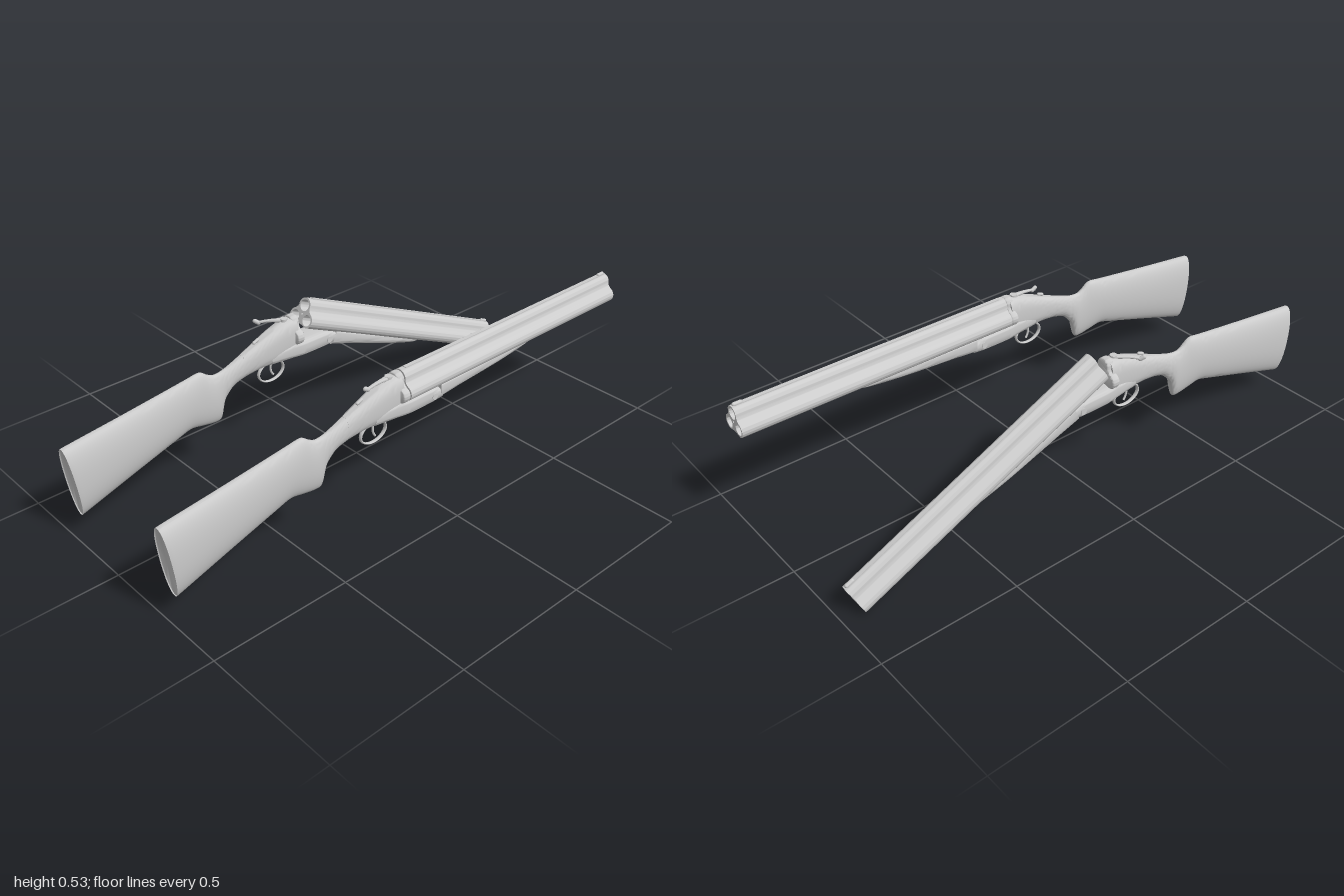
import * as THREE from 'three';
import { toCreasedNormals } from 'three/addons/utils/BufferGeometryUtils.js';

const material = new THREE.MeshStandardMaterial({ color: 0xcccccc, side: THREE.DoubleSide });
const HINGE = new THREE.Vector3(0.06, 0.385, 0);
const BREECH = -0.06;
const rad = THREE.MathUtils.degToRad;

function add(parent, name, geometry, x = 0, y = 0, z = 0) {
  const mesh = new THREE.Mesh(geometry, material);
  mesh.name = name;
  mesh.position.set(x, y, z);
  parent.add(mesh);
  return mesh;
}

// Smooth loft along x. Section: [xTop, yTop, xBottom, yBottom, halfWidth, squareness]
function loft(sections, steps = 5, sides = 36) {
  const top = new THREE.CatmullRomCurve3(sections.map(s => new THREE.Vector3(s[0], s[1], s[4])), false, 'catmullrom', 0.4);
  const bottom = new THREE.CatmullRomCurve3(sections.map(s => new THREE.Vector3(s[2], s[3], s[5])), false, 'catmullrom', 0.4);
  const rings = (sections.length - 1) * steps;
  const pos = [], idx = [];
  const power = (v, n) => Math.sign(v) * Math.abs(v) ** (2 / n);
  for (let i = 0; i <= rings; i++) {
    const t = top.getPoint(i / rings), b = bottom.getPoint(i / rings);
    for (let j = 0; j < sides; j++) {
      const a = (j / sides) * Math.PI * 2;
      const u = (power(Math.cos(a), b.z) + 1) / 2;
      pos.push(b.x + (t.x - b.x) * u, b.y + (t.y - b.y) * u, t.z * power(Math.sin(a), b.z));
    }
  }
  for (const s of [sections[0], sections.at(-1)]) pos.push((s[0] + s[2]) / 2, (s[1] + s[3]) / 2, 0);
  const c0 = (rings + 1) * sides, c1 = c0 + 1;
  for (let j = 0; j < sides; j++) {
    const k = (j + 1) % sides;
    for (let i = 0; i < rings; i++) {
      const p = i * sides, q = p + sides;
      idx.push(p + j, p + k, q + j, p + k, q + k, q + j);
    }
    idx.push(c0, k, j, c1, rings * sides + j, rings * sides + k);
  }
  const g = new THREE.BufferGeometry();
  g.setAttribute('position', new THREE.Float32BufferAttribute(pos, 3));
  g.setIndex(idx);
  return toCreasedNormals(g, 0.7);
}

// Three-lobed outline shared by the barrels and the standing breech
function clusterShape(withBores) {
  const s = new THREE.Shape();
  s.absarc(0.031, 0.425, 0.027, rad(-80), rad(60), false);
  s.quadraticCurveTo(0.031, 0.456, 0.0276, 0.467);
  s.absarc(0, 0.472, 0.028, rad(-10), rad(190), false);
  s.quadraticCurveTo(-0.031, 0.456, -0.0445, 0.448);
  s.absarc(-0.031, 0.425, 0.027, rad(120), rad(260), false);
  s.quadraticCurveTo(0, 0.41, 0.0357, 0.398);
  if (withBores) {
    for (const [x, y, r] of [[0, 0.472, 0.021], [0.031, 0.425, 0.02], [-0.031, 0.425, 0.02], [0, 0.441, 0.004]]) {
      s.holes.push(new THREE.Path().absarc(x, y, r, 0, Math.PI * 2, true));
    }
  }
  return s;
}

// Barrels, forend and sight: the part that tips on the hinge
function makeBarrels() {
  const tip = new THREE.Group();
  tip.name = 'barrelAssembly';
  const length = 1 - BREECH;
  const g = new THREE.ExtrudeGeometry(clusterShape(true), { depth: length, bevelEnabled: false, curveSegments: 20 });
  const p = g.attributes.position;
  for (let i = 0; i < p.count; i++) p.setX(i, p.getX(i) * (1 - 0.06 * p.getZ(i) / length));
  g.rotateY(Math.PI / 2).translate(BREECH, 0, 0);
  add(tip, 'barrels', toCreasedNormals(g, 0.6));
  add(tip, 'topRib', new THREE.BoxGeometry(length - 0.04, 0.006, 0.014), 0.47, 0.499);

  const bead = add(tip, 'frontSight', new THREE.CapsuleGeometry(0.007, 0.022, 6, 14), 0.978, 0.502);
  bead.rotation.z = Math.PI / 2;

  add(tip, 'forend', loft([
    [0.09, 0.415, 0.09, 0.347, 0.047, 4],
    [0.2, 0.415, 0.2, 0.357, 0.047, 3.5],
    [0.38, 0.415, 0.38, 0.367, 0.043, 3],
    [0.52, 0.415, 0.52, 0.379, 0.036, 2.6],
    [0.57, 0.413, 0.57, 0.388, 0.028, 2.3],
    [0.585, 0.41, 0.585, 0.402, 0.01, 2],
  ]));
  for (const c of tip.children) c.position.sub(HINGE);
  tip.position.copy(HINGE);
  return tip;
}

function makeGun(name, open) {
  const gun = new THREE.Group();
  gun.name = name;

  // Butt, comb, pistol grip and wrist
  add(gun, 'stock', loft([
    [-1.0, 0.352, -0.966, 0.087, 0.034, 2.2],
    [-0.99, 0.356, -0.955, 0.09, 0.037, 2.2],
    [-0.8, 0.379, -0.77, 0.149, 0.035, 2.1],
    [-0.62, 0.402, -0.6, 0.202, 0.031, 2.1],
    [-0.53, 0.414, -0.53, 0.222, 0.029, 2.1],
    [-0.475, 0.421, -0.475, 0.213, 0.027, 2.1],
    [-0.445, 0.402, -0.43, 0.206, 0.025, 2.1],
    [-0.42, 0.39, -0.402, 0.212, 0.023, 2.1],
    [-0.385, 0.392, -0.385, 0.275, 0.021, 2.1],
    [-0.345, 0.404, -0.345, 0.318, 0.021, 2.1],
    [-0.29, 0.424, -0.29, 0.337, 0.024, 2.3],
  ]));

  // Action body rising to the breech
  add(gun, 'receiver', loft([
    [-0.3, 0.421, -0.3, 0.335, 0.0235, 2.3],
    [-0.24, 0.444, -0.24, 0.344, 0.029, 2.6],
    [-0.18, 0.468, -0.18, 0.345, 0.034, 2.8],
    [-0.12, 0.487, -0.12, 0.345, 0.037, 2.8],
    [-0.075, 0.494, -0.075, 0.345, 0.04, 2.8],
  ]));
  add(gun, 'actionBar', loft([
    [-0.19, 0.4, -0.19, 0.346, 0.031, 3],
    [-0.1, 0.406, -0.1, 0.345, 0.042, 4],
    [-0.05, 0.404, -0.05, 0.345, 0.048, 5],
    [0.05, 0.402, 0.05, 0.345, 0.048, 5],
    [0.1, 0.385, 0.1, 0.347, 0.046, 4],
  ]));
  const breech = new THREE.ExtrudeGeometry(clusterShape(false), {
    depth: 0.014, bevelThickness: 0.008, bevelSize: 0.008, bevelOffset: -0.008, bevelSegments: 4, curveSegments: 16,
  });
  breech.rotateY(Math.PI / 2).translate(BREECH - 0.023, 0, 0);
  add(gun, 'standingBreech', toCreasedNormals(breech, 0.7));

  const pin = add(gun, 'hingePin', new THREE.CylinderGeometry(0.012, 0.012, 0.1, 20), 0.06, 0.37);
  pin.rotation.x = Math.PI / 2;

  // Trigger and its guard
  const guard = add(gun, 'triggerGuard', new THREE.TorusGeometry(0.055, 0.004, 10, 40), -0.175, 0.311);
  guard.scale.set(1, 0.7, 1.8);
  const bend = new THREE.QuadraticBezierCurve3(
    new THREE.Vector3(-0.17, 0.35, 0), new THREE.Vector3(-0.185, 0.315, 0), new THREE.Vector3(-0.165, 0.292, 0));
  add(gun, 'trigger', new THREE.TubeGeometry(bend, 10, 0.004, 8));

  // Safety catch and top lever
  const safety = add(gun, 'safetyCatch', new THREE.CapsuleGeometry(0.006, 0.018, 4, 10), -0.235, 0.451);
  safety.rotation.z = rad(-68);
  const lever = new THREE.Group();
  lever.name = 'topLever';
  add(lever, 'leverPivot', new THREE.CylinderGeometry(0.013, 0.013, 0.016, 20));
  add(lever, 'leverArm', loft([
    [-0.098, -0.003, -0.098, -0.011, 0.005, 3],
    [-0.05, 0.005, -0.05, -0.005, 0.006, 3],
    [0, 0.008, 0, -0.006, 0.01, 3],
  ], 3, 16));
  const pad = add(lever, 'leverThumbPiece', new THREE.CapsuleGeometry(0.008, 0.014, 4, 12), -0.094, -0.004);
  pad.scale.z = 0.8;
  pad.rotation.z = rad(60);
  lever.position.set(-0.11, 0.488, 0);
  lever.rotation.y = open ? rad(-40) : 0;
  gun.add(lever);

  const barrels = makeBarrels();
  barrels.rotation.z = open ? rad(-24.3) : 0;
  gun.add(barrels);
  return gun;
}

export function createModel() {
  const model = new THREE.Group();
  model.name = 'shotgunPair';
  const closed = makeGun('closedShotgun', false);
  closed.position.z = 0.272;
  const opened = makeGun('openShotgun', true);
  opened.position.z = -0.256;
  model.add(closed, opened);
  return model;
}
